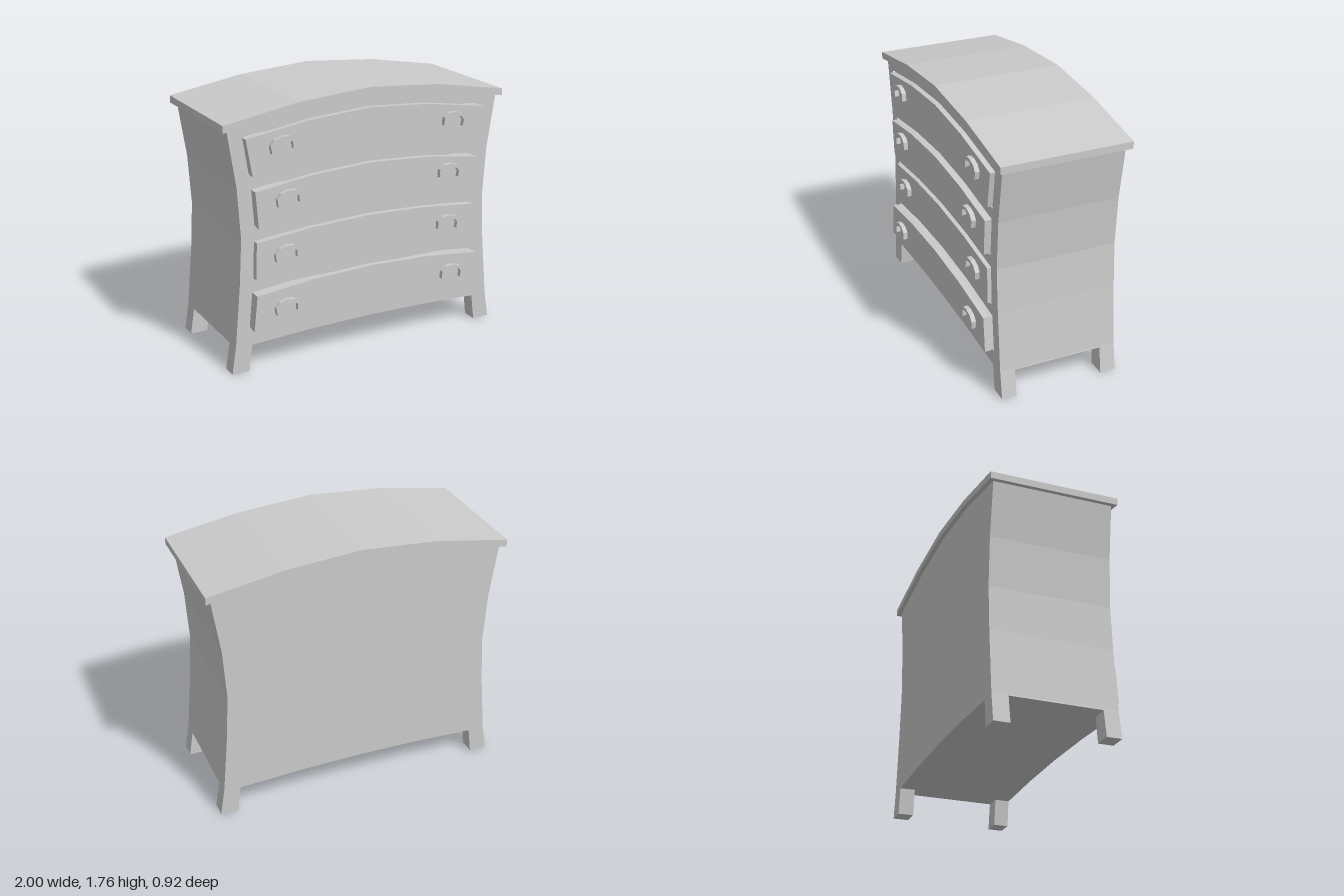
import * as THREE from 'three';

const material = new THREE.MeshStandardMaterial({ color: 0xcccccc, flatShading: true });

// Mirror right-hand points, listed from the upper centre line round to the lower centre line
function mirrored(points) {
  const left = points.filter(([x]) => x > 0).map(([x, y]) => [-x, y]).reverse();
  return [...points, ...left].map(([x, y]) => new THREE.Vector2(x, y));
}

// Prism with a front-view outline, running from zBack to zFront
function prism(name, points, zBack, zFront, holes = []) {
  const shape = new THREE.Shape(points);
  for (const h of holes) shape.holes.push(new THREE.Path(h));
  const geometry = new THREE.ExtrudeGeometry(shape, { depth: zFront - zBack, bevelEnabled: false });
  geometry.translate(0, 0, zBack);
  const mesh = new THREE.Mesh(geometry, material);
  mesh.name = name;
  return mesh;
}

// Arched drawer outline; inset leaves a gap inside the opening, flatTop drops the arch
function drawerOutline(d, inset = 0, flatTop = false) {
  const [t0, t1, t2] = flatTop ? [d.top[2], d.top[2], d.top[2]] : d.top;
  const [b0, b1, b2] = d.bottom;
  return mirrored([
    [0, t0 - inset], [0.42, t1 - inset], [d.xTop - inset, t2 - inset],
    [d.xBottom - inset, b2 + inset], [0.42, b1 + inset], [0, b0 + inset],
  ]);
}

// Handle: half-hoop with short legs
function handleOutline() {
  const outer = [[-0.083, -0.047], [-0.085, 0.005], [-0.053, 0.036], [0, 0.046], [0.053, 0.036], [0.085, 0.005], [0.083, -0.047]];
  const inner = [[0.062, -0.047], [0.064, -0.003], [0.042, 0.016], [0, 0.024], [-0.042, 0.016], [-0.064, -0.003], [-0.062, -0.047]];
  return [...outer, ...inner].map(([x, y]) => new THREE.Vector2(x, y));
}

// Heights run centre, middle, end; front is how far the drawer is pulled out
const drawers = [
  { top: [1.64, 1.612, 1.545], bottom: [1.365, 1.342, 1.285], xTop: 0.865, xBottom: 0.825, front: 0.403, hx: 0.62, hy: 1.485, tilt: 0.14 },
  { top: [1.285, 1.262, 1.21], bottom: [1.005, 0.992, 0.95], xTop: 0.815, xBottom: 0.797, front: 0.415, hx: 0.587, hy: 1.143, tilt: 0.11 },
  { top: [0.927, 0.912, 0.873], bottom: [0.662, 0.647, 0.61], xTop: 0.805, xBottom: 0.815, front: 0.397, hx: 0.597, hy: 0.778, tilt: 0.1 },
  { top: [0.592, 0.577, 0.535], bottom: [0.315, 0.307, 0.28], xTop: 0.825, xBottom: 0.85, front: 0.432, hx: 0.615, hy: 0.433, tilt: 0.08 },
];

export function createModel() {
  const group = new THREE.Group();
  const back = -0.43, recess = 0.275, face = 0.375;

  // Waisted carcass with an arched top and bottom
  const carcass = mirrored([
    [0, 1.715], [0.5, 1.68], [0.965, 1.595], [0.91, 1.23], [0.89, 0.9],
    [0.907, 0.6], [0.945, 0.19], [0.947, 0.178], [0.835, 0.178], [0.42, 0.198], [0, 0.205],
  ]);
  group.add(prism('carcass', carcass, back, recess));
  group.add(prism('drawerFrame', carcass, recess, face, drawers.map((d) => drawerOutline(d))));

  // Arched top slab
  group.add(prism('topSlab', mirrored([
    [0, 1.76], [0.5, 1.722], [1, 1.637], [1, 1.59], [0.5, 1.68], [0, 1.715],
  ]), -0.46, 0.403));

  // Four splayed feet
  for (const side of [-1, 1]) {
    for (const [label, z0, z1] of [['front', recess, face], ['back', back, -0.325]]) {
      const outline = [[0.835, 0.178], [0.947, 0.178], [0.975, 0], [0.857, 0]]
        .map(([x, y]) => new THREE.Vector2(side * x, y));
      group.add(prism(`${label}${side > 0 ? 'Left' : 'Right'}Foot`, outline, z0, z1));
    }
  }

  // Drawers: arched front, lower tray behind it, and a pair of handles
  const hoop = handleOutline();
  drawers.forEach((d, i) => {
    const drawer = new THREE.Group();
    drawer.name = `drawer${i + 1}`;
    drawer.add(prism('drawerFront', drawerOutline(d, 0.01), d.front - 0.038, d.front));
    drawer.add(prism('drawerTray', drawerOutline(d, 0.012, true), 0.285, d.front - 0.038));
    for (const side of [-1, 1]) {
      const handle = prism(side > 0 ? 'leftHandle' : 'rightHandle', hoop, 0, 0.03);
      handle.position.set(side * d.hx, d.hy, d.front);
      handle.rotation.z = -side * d.tilt;
      drawer.add(handle);
    }
    group.add(drawer);
  });
  return group;
}
